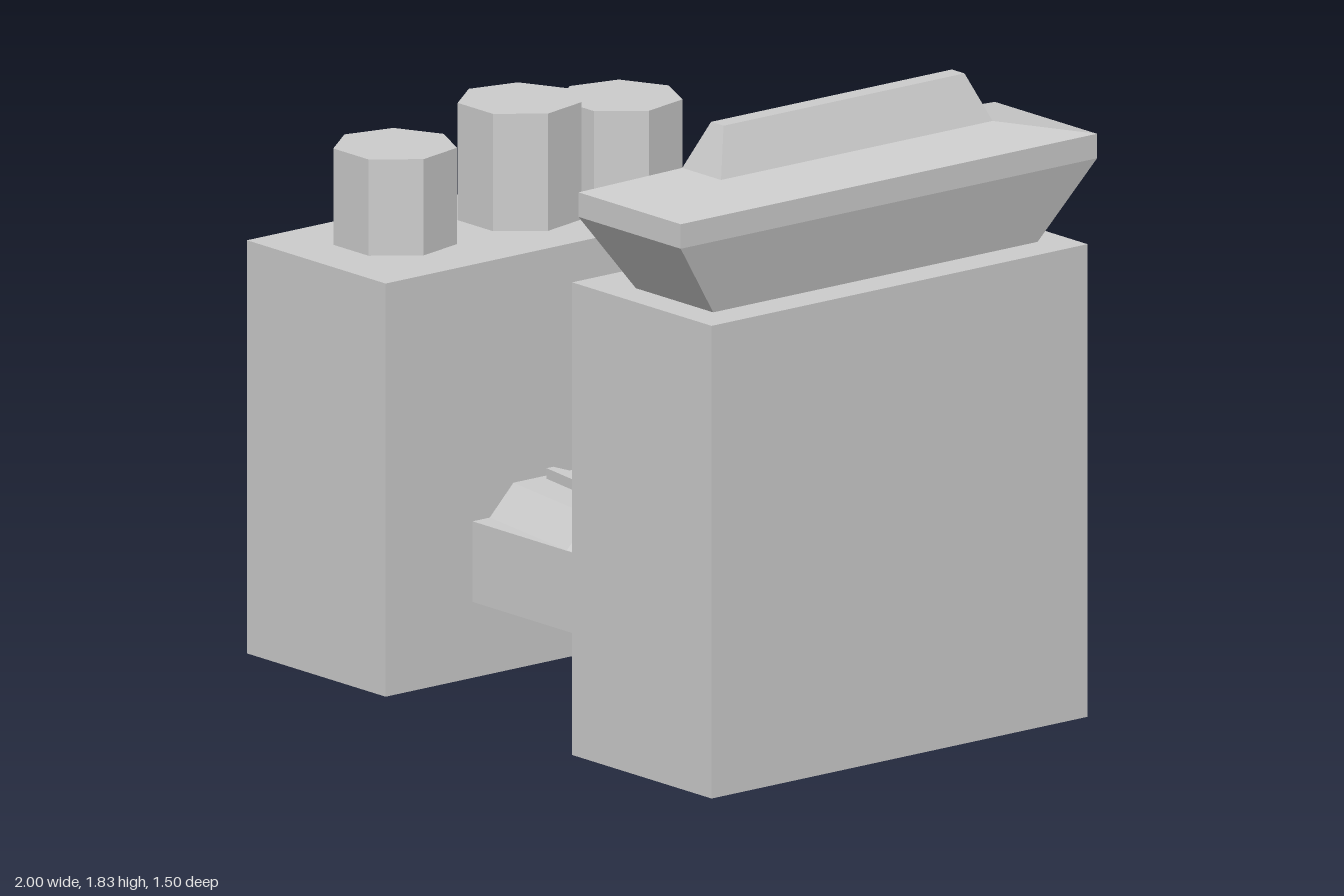
import * as THREE from 'three';

const mat = new THREE.MeshStandardMaterial({ color: 0xcccccc, flatShading: true });

function add(parent, name, geometry, x = 0, y = 0, z = 0) {
  const mesh = new THREE.Mesh(geometry, mat);
  mesh.name = name;
  mesh.position.set(x, y, z);
  parent.add(mesh);
  return mesh;
}

// Box given by its extents
function block(parent, name, x0, x1, y0, y1, z0, z1) {
  return add(parent, name, new THREE.BoxGeometry(x1 - x0, y1 - y0, z1 - z0),
    (x0 + x1) / 2, (y0 + y1) / 2, (z0 + z1) / 2);
}

// Closed faceted solid through stacked convex outlines: [{ y, ring: [[x, z], ...] }, ...]
function loft(sections) {
  const pos = [];
  const tri = (...pts) => pts.forEach((p) => pos.push(...p));
  const rings = sections.map(({ y, ring }) => ring.map(([x, z]) => [x, y, z]));
  const n = rings[0].length;
  for (let s = 0; s < rings.length - 1; s++) {
    const lo = rings[s], hi = rings[s + 1];
    for (let i = 0; i < n; i++) {
      const j = (i + 1) % n;
      tri(lo[i], lo[j], hi[j]);
      tri(lo[i], hi[j], hi[i]);
    }
  }
  const bottom = rings[0], top = rings[rings.length - 1];
  for (let i = 1; i < n - 1; i++) {
    tri(top[0], top[i], top[i + 1]);
    tri(bottom[0], bottom[i + 1], bottom[i]);
  }
  const g = new THREE.BufferGeometry();
  g.setAttribute('position', new THREE.Float32BufferAttribute(pos, 3));
  g.computeVertexNormals();
  return g;
}

const rect = (x0, x1, z0, z1) => [[x0, z1], [x1, z1], [x1, z0], [x0, z0]];

// Stretched hexagon: narrow at both ends, widest in the middle
const spindle = (halfX, zc, halfEnd, halfMid) => [
  [-halfX, zc + halfEnd], [0, zc + halfMid], [halfX, zc + halfEnd],
  [halfX, zc - halfEnd], [0, zc - halfMid], [-halfX, zc - halfEnd],
];

export function createModel() {
  const model = new THREE.Group();
  model.name = 'twinTowers';

  // Two tall blocks
  block(model, 'rightTower', -1, -0.403, 0, 1.18, -0.67, 0.68);
  block(model, 'leftTower', 0.4, 1, 0, 1.35, -0.67, 0.68);

  // Seven-sided chimneys on the lower tower
  const chimneys = new THREE.Group();
  chimneys.name = 'chimneys';
  model.add(chimneys);
  for (const [x, z, top] of [[-0.73, -0.435, 1.455], [-0.715, -0.06, 1.515], [-0.735, 0.37, 1.455]]) {
    const h = top - 1.18;
    const c = add(chimneys, 'chimney', new THREE.CylinderGeometry(0.175, 0.175, h, 7), x, 1.18 + h / 2, z);
    c.rotation.y = Math.PI;
  }

  // Flared roof with a raised ridge on the taller tower
  add(model, 'roof', loft([
    { y: 1.35, ring: rect(0.56, 0.893, -0.58, 0.585) },
    { y: 1.57, ring: rect(0.505, 0.945, -0.75, 0.745) },
    { y: 1.64, ring: rect(0.505, 0.945, -0.75, 0.745) },
    { y: 1.693, ring: rect(0.64, 0.807, -0.49, 0.485) },
    { y: 1.827, ring: rect(0.698, 0.752, -0.435, 0.43) },
  ]));

  // Bridge: beam, backward-leaning deck and thin cap
  const bridge = new THREE.Group();
  bridge.name = 'bridge';
  model.add(bridge);
  block(bridge, 'beam', -0.405, 0.402, 0.217, 0.447, 0.03, 0.368);
  add(bridge, 'deck', loft([
    { y: 0.447, ring: spindle(0.404, 0.198, 0.108, 0.168) },
    { y: 0.532, ring: spindle(0.404, 0.113, 0.108, 0.168) },
  ]));
  add(bridge, 'deckCap', loft([
    { y: 0.532, ring: spindle(0.377, 0.112, 0.012, 0.07) },
    { y: 0.562, ring: spindle(0.377, 0.112, 0.012, 0.07) },
  ]));

  return model;
}
